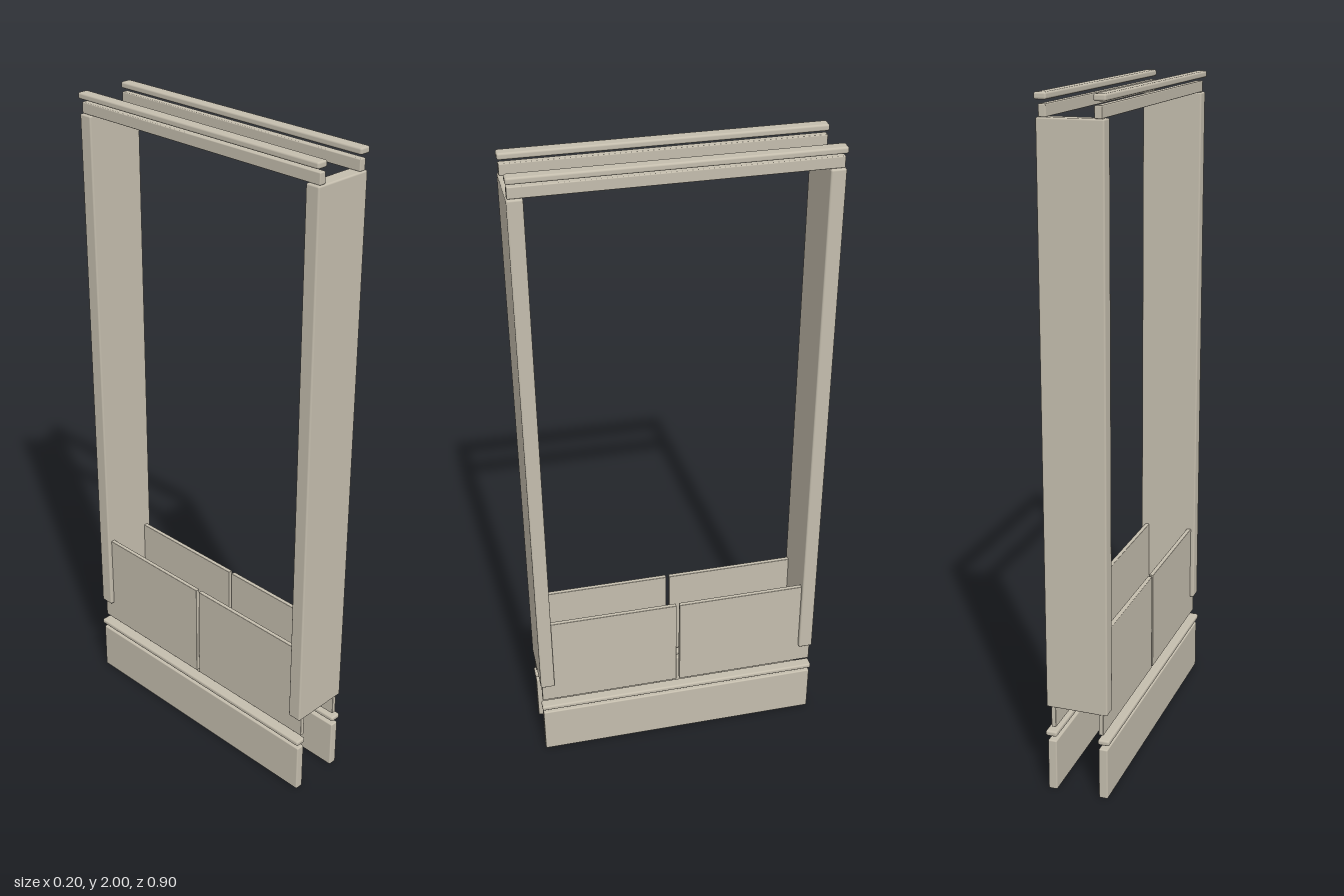
import * as THREE from 'three';
import { RoundedBoxGeometry } from 'three/addons/geometries/RoundedBoxGeometry.js';

export function createModel() {
  const model = new THREE.Group();
  model.name = 'openingTrim';
  const material = new THREE.MeshStandardMaterial({ color: 0xc4bdad });

  // Softly edged box given by its extents on each axis
  function block(name, [x0, x1], [y0, y1], [z0, z1], radius) {
    const w = x1 - x0, h = y1 - y0, d = z1 - z0;
    const geometry = radius
      ? new RoundedBoxGeometry(w, h, d, 2, radius)
      : new THREE.BoxGeometry(w, h, d);
    const mesh = new THREE.Mesh(geometry, material);
    mesh.name = name;
    mesh.position.set((x0 + x1) / 2, (y0 + y1) / 2, (z0 + z1) / 2);
    model.add(mesh);
  }

  const span = [-0.446, 0.446];
  // Range mirrored to the negative side when s is -1
  const mirror = (s, a, b) => (s > 0 ? [a, b] : [-b, -a]);

  // Upright jamb boards at the front and back
  for (const s of [1, -1]) {
    const name = s > 0 ? 'frontJamb' : 'backJamb';
    block(name, [-0.093, 0.093], [0.27, 1.938], mirror(s, 0.405, 0.449), 0.005);
  }

  for (const s of [1, -1]) {
    const side = s > 0 ? 'left' : 'right';

    // Skirting board with a separate moulding above it
    block(side + 'Skirting', mirror(s, 0.065, 0.092), [0, 0.16], span, 0.004);
    block(side + 'SkirtingMoulding', mirror(s, 0.063, 0.098), [0.174, 0.191], [-0.449, 0.449], 0.006);

    // Pair of wall panels with a narrow gap between them
    for (const t of [1, -1]) {
      const end = t > 0 ? 'Front' : 'Back';
      block(side + end + 'Panel', mirror(s, 0.066, 0.08), [0.205, 0.516], mirror(t, 0.005, 0.445), 0.002);
    }

    // Head rail and the cap moulding above it
    block(side + 'HeadRail', mirror(s, 0.065, 0.086), [1.938, 1.971], span, 0.003);
    block(side + 'CapMoulding', mirror(s, 0.063, 0.098), [1.981, 2], [-0.449, 0.449], 0.006);
  }

  return model;
}
